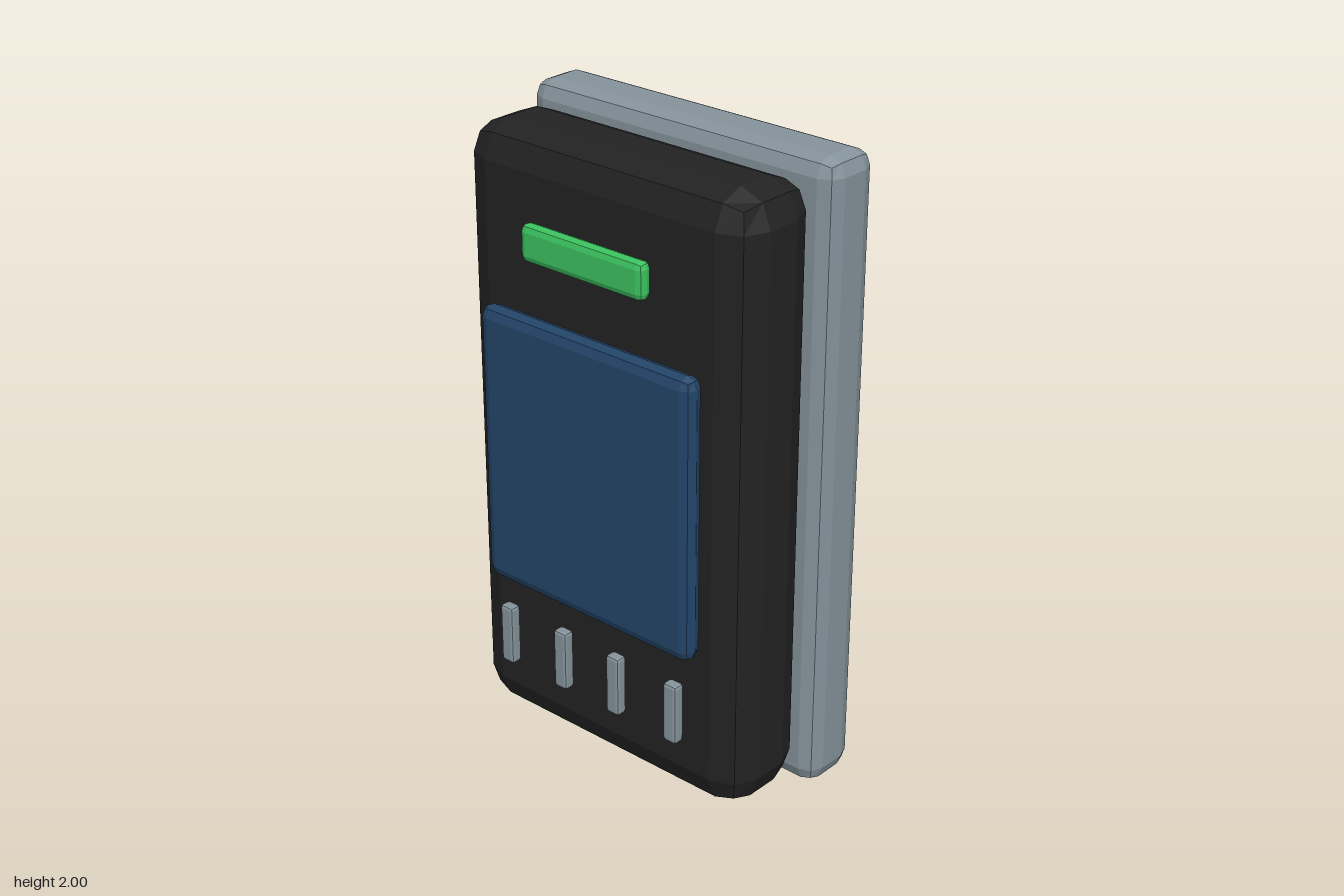
import * as THREE from 'three';
import { RoundedBoxGeometry } from 'three/addons/geometries/RoundedBoxGeometry.js';

const material = (name, color) =>
  new THREE.MeshStandardMaterial({ name, color, flatShading: true });

export function createModel() {
  const black = material('black casing', 0x222222);
  const grey = material('blue grey', 0x84929a);
  const blue = material('screen blue', 0x234468);
  const green = material('indicator green', 0x3abf5e);

  const group = new THREE.Group();
  group.name = 'handheldDevice';

  // Block with two-step bevels, given by its extents on each axis
  function block(name, mat, [x0, x1], [y0, y1], [z0, z1], bevel) {
    const geometry = new RoundedBoxGeometry(x1 - x0, y1 - y0, z1 - z0, 1, bevel);
    const mesh = new THREE.Mesh(geometry, mat);
    mesh.name = name;
    mesh.position.set((x0 + x1) / 2, (y0 + y1) / 2, (z0 + z1) / 2);
    group.add(mesh);
  }

  // Two main slabs
  block('backPlate', grey, [-0.564, 0.564], [0, 2], [-0.255, -0.056], 0.054);
  block('frontBody', black, [-0.532, 0.532], [0.037, 1.968], [-0.054, 0.265], 0.104);

  // Front details
  block('screen', blue, [-0.404, 0.404], [0.555, 1.45], [0.267, 0.338], 0.035);
  block('indicatorLight', green, [-0.23, 0.23], [1.627, 1.742], [0.286, 0.334], 0.022);
  for (const x of [-0.334, -0.109, 0.105, 0.331]) {
    block('keyBar', grey, [x - 0.025, x + 0.025], [0.265, 0.462], [0.295, 0.333], 0.01);
  }

  // Catch on the back
  block('rearCatch', black, [-0.152, 0.152], [0.375, 0.563], [-0.341, -0.2], 0.03);

  return group;
}
